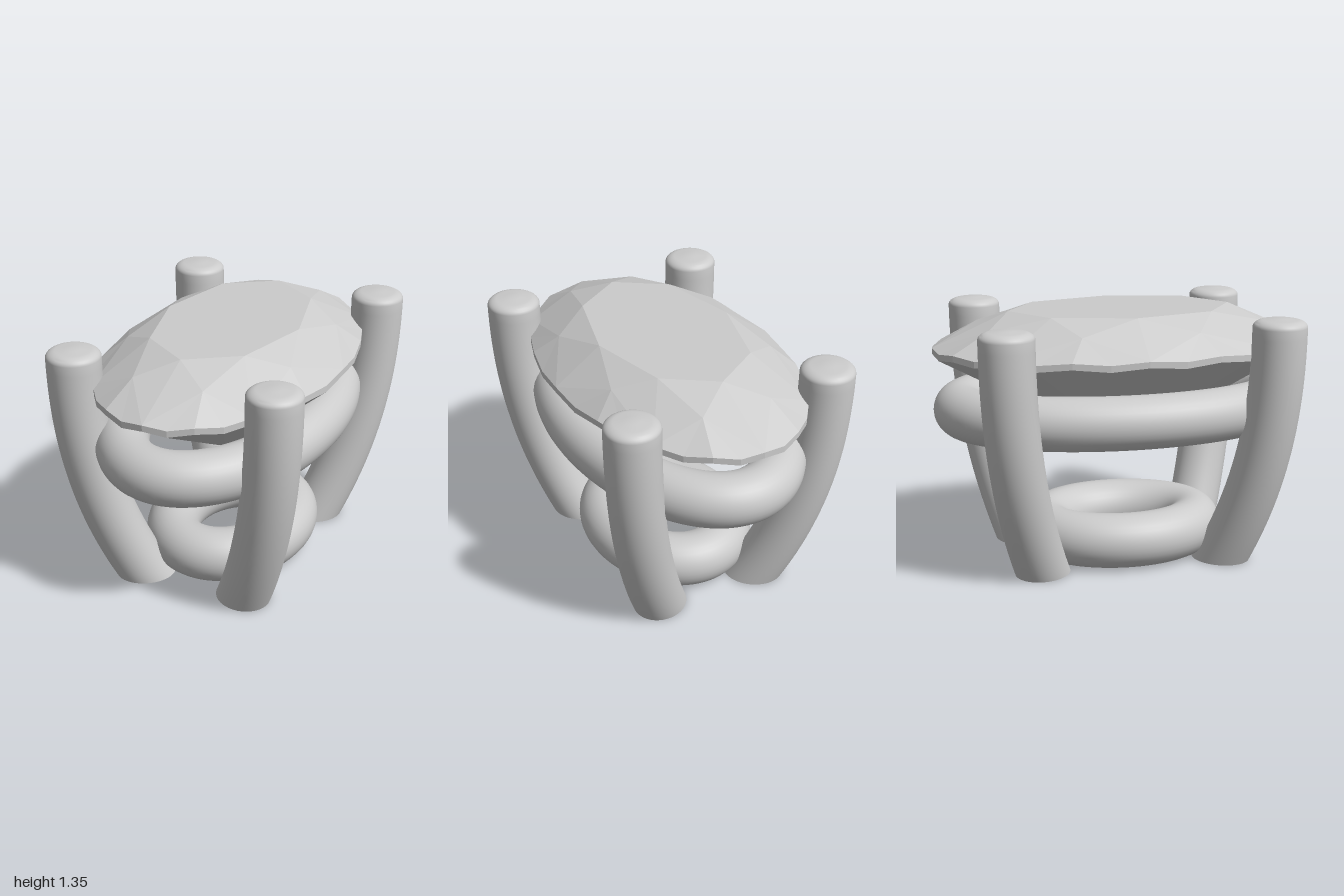
import * as THREE from 'three';
import { toCreasedNormals } from 'three/addons/utils/BufferGeometryUtils.js';

const material = new THREE.MeshStandardMaterial({ color: 0xcccccc });
const gemMaterial = new THREE.MeshStandardMaterial({ color: 0xcccccc, flatShading: true });

function addMesh(parent, name, geometry, mat = material) {
  const mesh = new THREE.Mesh(geometry, mat);
  mesh.name = name;
  parent.add(mesh);
}

// Oval ring of constant thickness lying flat at height y
function ovalRing(a, b, y, radius) {
  const points = [];
  for (let i = 0; i < 32; i++) {
    const t = (i / 32) * Math.PI * 2;
    points.push(new THREE.Vector3(a * Math.sin(t), y, b * Math.cos(t)));
  }
  const path = new THREE.CatmullRomCurve3(points, true);
  return new THREE.TubeGeometry(path, 128, radius, 32, true);
}

// Prong: a rounded rod whose foot bends inwards, cut level at the ground
function prong(sx, sz) {
  const r = 0.14, H = 1.345, cap = 0.045, power = 2.3;
  const profile = [new THREE.Vector2(0, 0)];
  for (let i = 0; i <= 24; i++) profile.push(new THREE.Vector2(r, ((H - cap) * i) / 24));
  for (let i = 1; i <= 8; i++) {
    const t = (i / 8) * Math.PI / 2;
    profile.push(new THREE.Vector2(r - 0.06 + 0.06 * Math.cos(t), H - cap + 0.038 * Math.sin(t)));
  }
  profile.push(new THREE.Vector2(0.04, H - 0.001), new THREE.Vector2(0, H));
  const geometry = new THREE.LatheGeometry(profile, 40);
  const pos = geometry.attributes.position;
  const dir = new THREE.Vector2(0.255 * sx, 0.21 * sz);
  const reach = dir.length();
  dir.normalize();
  for (let i = 0; i < pos.count; i++) {
    const x = pos.getX(i), y = pos.getY(i), z = pos.getZ(i);
    const u = Math.max(0, 1 - y / H);
    const slope = (reach * power * Math.pow(u, power - 1)) / H;
    // widen level slices along the lean so the rod stays round
    const along = (x * dir.x + z * dir.y) * (Math.hypot(1, slope) - 1) - reach * Math.pow(u, power);
    pos.setXYZ(i, 0.545 * sx + x + dir.x * along, y, 0.7 * sz + z + dir.y * along);
  }
  return toCreasedNormals(geometry, 0.7);
}

// Oval brilliant-cut stone, built as eight repeated sectors of facets
function gemGeometry() {
  const data = [];
  const step = Math.PI / 16;
  const at = (r, k, y) => [0.62 * r * Math.sin(k * step), y, r * Math.cos(k * step)];
  const fan = (...p) => {
    for (let i = 1; i < p.length - 1; i++) data.push(...p[0], ...p[i], ...p[i + 1]);
  };
  const table = k => at(0.6, k, 1.345);
  const star = k => at(0.8, k, 1.272);
  const upper = k => at(1, k, k % 2 ? 1.157 : 1.17);
  const lower = k => at(1, k, k % 2 ? 1.123 : 1.138);
  const pavilion = k => at(0.25, k, 0.713);
  const culet = [0, 0.585, 0];
  for (let k = 0; k < 32; k += 4) {
    const span = [0, 1, 2, 3, 4].map(i => k + i);
    // crown
    fan([0, 1.345, 0], table(k), table(k + 4));
    fan(table(k), star(k + 2), table(k + 4));
    fan(table(k), star(k - 2), upper(k), star(k + 2));
    fan(star(k + 2), ...span.map(upper));
    // girdle
    for (let j = k; j < k + 4; j++) fan(lower(j), lower(j + 1), upper(j + 1), upper(j));
    // pavilion
    fan(pavilion(k + 2), ...span.map(lower).reverse());
    fan(culet, pavilion(k + 2), lower(k), pavilion(k - 2));
  }
  const geometry = new THREE.BufferGeometry();
  geometry.setAttribute('position', new THREE.Float32BufferAttribute(data, 3));
  geometry.computeVertexNormals();
  return geometry;
}

export function createModel() {
  const model = new THREE.Group();
  model.name = 'gemSetting';
  addMesh(model, 'gem', gemGeometry(), gemMaterial);
  addMesh(model, 'upperRing', ovalRing(0.48, 0.86, 0.83, 0.14), material);
  addMesh(model, 'lowerRing', ovalRing(0.31, 0.41, 0.145, 0.145), material);
  for (const [sx, side] of [[1, 'Left'], [-1, 'Right']])
    for (const [sz, end] of [[1, 'front'], [-1, 'back']])
      addMesh(model, `${end}${side}Prong`, prong(sx, sz));
  return model;
}
